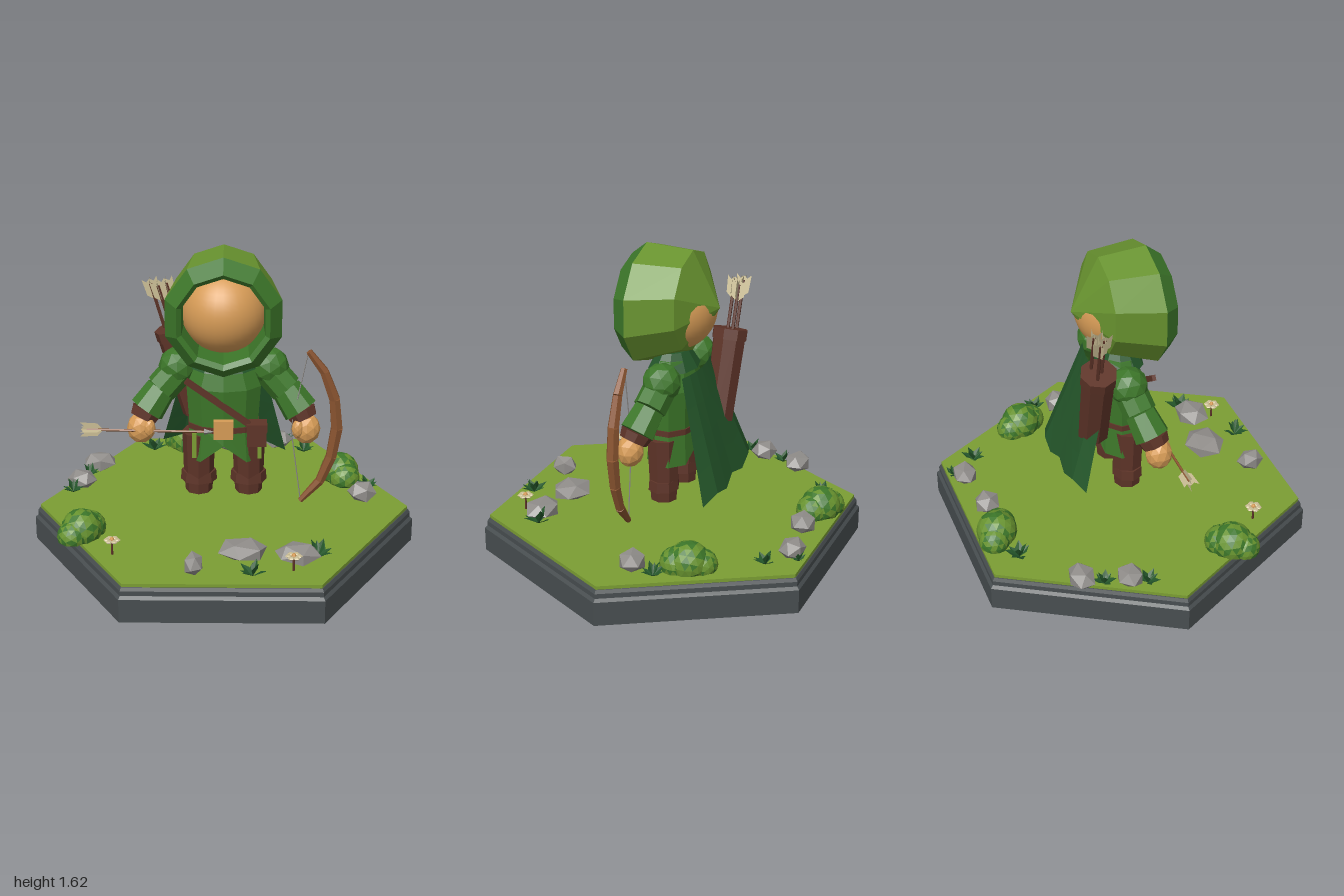
import * as THREE from 'three';

const V = (x, y, z) => new THREE.Vector3(x, y, z);
const UP = V(0, 1, 0);

function mat(name, color, side = THREE.FrontSide) {
  const m = new THREE.MeshStandardMaterial({ color, side });
  m.name = name;
  return m;
}

// Faceted normals
function flat(g) {
  const f = g.index ? g.toNonIndexed() : g;
  f.computeVertexNormals();
  return f;
}

// Moves every vertex by a rule
function warp(g, rule) {
  const p = g.attributes.position, v = V(0, 0, 0);
  for (let i = 0; i < p.count; i++) {
    v.fromBufferAttribute(p, i);
    rule(v);
    p.setXYZ(i, v.x, v.y, v.z);
  }
  return g;
}

function lathe(profile, sides, start = 0) {
  return new THREE.LatheGeometry(profile.map(([r, y]) => new THREE.Vector2(r, y)), sides, start);
}

// Tapered cylinder from point a to point b
function limb(a, b, ra, rb, sides = 8) {
  const d = b.clone().sub(a);
  const g = new THREE.CylinderGeometry(rb, ra, d.length(), sides);
  g.applyQuaternion(new THREE.Quaternion().setFromUnitVectors(UP, d.normalize()));
  const c = a.clone().add(b).multiplyScalar(0.5);
  return flat(g.translate(c.x, c.y, c.z));
}

function box(w, h, d, x, y, z, rz = 0) {
  return new THREE.BoxGeometry(w, h, d).rotateZ(rz).translate(x, y, z);
}

let seed = 11;
const rand = () => (seed = (seed * 16807) % 2147483647) / 2147483647;

export function createModel() {
  const slate = mat('slate', 0x484e50);
  const grass = mat('grass', 0x7b9e33);
  const deepGreen = mat('deepGreen', 0x24562a, THREE.DoubleSide);
  const tunicGreen = mat('tunicGreen', 0x3c7629);
  const olive = mat('olive', 0x68932f);
  const skin = mat('skin', 0xd69b56);
  const leather = mat('leather', 0x5e3428);
  const wood = mat('wood', 0x8a5430);
  const rock = mat('rock', 0x908d8a);
  const cream = mat('cream', 0xcabd94, THREE.DoubleSide);

  const model = new THREE.Group();
  const add = (name, g, m, parent = model) => {
    const mesh = new THREE.Mesh(g, m);
    mesh.name = name;
    parent.add(mesh);
    return mesh;
  };
  const group = (name, x = 0, y = 0, z = 0) => {
    const g = new THREE.Group();
    g.name = name;
    g.position.set(x, y, z);
    model.add(g);
    return g;
  };

  // Hexagonal plinth and turf
  add('plinth', flat(lathe([[0, 0], [1, 0], [1, 0.125], [0.985, 0.14], [0.985, 0.165], [0.975, 0.182], [0, 0.182]], 6, Math.PI / 6)), slate);
  add('turf', flat(lathe([[0.97, 0.18], [0.97, 0.2], [0, 0.2]], 6, Math.PI / 6)), grass);

  // Head and hood, with the hood turned along z and its rear raised
  add('head', new THREE.SphereGeometry(0.22, 32, 24).translate(0, 1.305, 0), skin);
  const hoodPart = (profile) => flat(warp(lathe(profile, 10).rotateX(Math.PI / 2), (v) => {
    v.x *= 0.97;
    v.y += 1.31 + (v.z < -0.2 ? 0.02 : v.z < 0 ? 0.04 : 0);
  }));
  add('hood', hoodPart([[0, -0.245], [0.262, -0.1], [0.315, 0.15]]), olive);
  add('hoodRim', hoodPart([[0.315, 0.15], [0.25, 0.23], [0.225, 0.21], [0.215, 0.02]]), tunicGreen);

  // Tunic, with a notch at the middle of the hem
  const tunic = lathe([[0, 0.62], [0.205, 0.5], [0.185, 0.68], [0.2, 0.9], [0.135, 1.05], [0, 1.06]], 10);
  add('tunic', flat(warp(tunic, (v) => {
    if (v.y < 0.51 && Math.abs(v.x) < 0.02) v.y = 0.6;
    v.z = v.z * 0.65 - 0.005;
  })), tunicGreen);
  add('collar', flat(new THREE.CylinderGeometry(0.1, 0.17, 0.09, 10).scale(1, 1, 0.75).translate(0, 1.04, 0)), deepGreen);

  // Belt, buckle, shoulder strap, pouch and hanging ribbons
  add('belt', flat(new THREE.CylinderGeometry(0.192, 0.192, 0.03, 10).scale(1, 1, 0.67).translate(0, 0.68, -0.005)), leather);
  add('buckle', box(0.1, 0.1, 0.03, 0, 0.7, 0.138), skin);
  add('chestStrap', box(0.4, 0.03, 0.02, -0.03, 0.845, 0.125, -0.64), leather);
  add('pouch', box(0.1, 0.12, 0.07, 0.17, 0.67, 0.115), leather);
  add('pouchFlap', box(0.106, 0.045, 0.078, 0.17, 0.71, 0.115), leather);
  for (const x of [-0.15, 0.185]) add('ribbon', box(0.022, 0.14, 0.008, x, 0.6, 0.115), grass);

  for (const s of [1, -1]) {
    // Boots
    const x = 0.13 * s;
    add('bootShaft', limb(V(x, 0.39, 0.005), V(x, 0.64, 0.01), 0.078, 0.085), leather);
    add('bootCuff', flat(new THREE.CylinderGeometry(0.09, 0.095, 0.055, 8).scale(1, 1, 0.85).translate(x, 0.388, 0.005)), leather);
    add('foot', limb(V(x, 0.3, 0.005), V(x, 0.365, 0.005), 0.07, 0.075), leather);
    // Arms
    const elbow = V(0.32 * s, 0.87, 0), wrist = V(0.395 * s, 0.765, 0.035);
    add('shoulder', flat(new THREE.IcosahedronGeometry(0.1, 1).translate(0.235 * s, 0.985, -0.03)), tunicGreen);
    add('upperArm', limb(V(0.22 * s, 0.98, -0.03), elbow, 0.085, 0.085), tunicGreen);
    add('sleeve', limb(elbow, wrist, 0.08, 0.093), tunicGreen);
    add('wristband', limb(wrist, V(0.415 * s, 0.725, 0.048), 0.083, 0.072), leather);
    // Hand and thumb
    add('hand', flat(new THREE.IcosahedronGeometry(0.077, 1).scale(0.95, 1.08, 0.9).translate(0.425 * s, 0.675, 0.06)), skin);
    add('thumb', flat(new THREE.IcosahedronGeometry(0.04, 1).scale(0.8, 1.3, 0.8).translate(0.38 * s, 0.69, 0.1)), skin);
  }

  // Cape: a sheet that widens and swings back toward its hem
  const cape = new THREE.PlaneGeometry(2, 1, 6, 4);
  add('cape', flat(warp(cape, (v) => {
    const t = 0.5 - v.y, u = v.x;
    v.x = u * (0.19 + 0.14 * t);
    v.y = 1.0 - t * (0.57 + 0.03 * u) + 0.015 * Math.cos(u * 9) * t;
    v.z = -0.12 - 0.185 * t - 0.03 * (1 - u * u) + 0.012 * Math.cos(u * 6) * t;
  })), deepGreen);

  // Feathered end of an arrow, two crossed notched plates along +y
  const feather = new THREE.Shape([[0, 0], [0.035, 0.03], [0.04, 0.12], [0.02, 0.1], [0, 0.115], [-0.02, 0.1], [-0.04, 0.12], [-0.035, 0.03]]
    .map(([x, y]) => new THREE.Vector2(x, y)));
  const fletch = (parent, at, dir) => {
    for (const turn of [0, Math.PI / 2]) {
      const g = new THREE.ShapeGeometry(feather).rotateY(turn);
      g.applyQuaternion(new THREE.Quaternion().setFromUnitVectors(UP, dir)).translate(at.x, at.y, at.z);
      add('fletching', g, cream, parent);
    }
  };

  // Quiver with three arrows
  const quiver = group('quiver');
  const low = V(-0.14, 0.67, -0.185), high = V(-0.27, 1.12, -0.2);
  add('quiverCase', limb(low, high, 0.08, 0.088), leather, quiver);
  add('quiverBand', limb(low.clone().lerp(high, 0.9), low.clone().lerp(high, 1.02), 0.094, 0.094), leather, quiver);
  const lean = high.clone().sub(low).normalize();
  for (const [dx, dz] of [[-0.04, -0.02], [0, 0.015], [0.04, -0.025]]) {
    const a = high.clone().add(V(dx, 0, dz)), b = a.clone().addScaledVector(lean, 0.25);
    add('arrowShaft', limb(a, b, 0.009, 0.009, 5), leather, quiver);
    fletch(quiver, a.clone().addScaledVector(lean, 0.16), lean);
  }

  // Arrow held in the right hand
  const arrow = group('heldArrow');
  add('shaft', limb(V(-0.7, 0.685, 0.11), V(-0.1, 0.68, 0.12), 0.007, 0.007, 5), wood, arrow);
  add('arrowPoint', limb(V(-0.1, 0.68, 0.12), V(-0.05, 0.68, 0.12), 0.018, 0.001, 4), rock, arrow);
  fletch(arrow, V(-0.615, 0.685, 0.11), V(-1, 0, 0));

  // Bow with a drawn string
  const bow = group('bow');
  const stave = [[0.43, 1.11, 0.017], [0.51, 1.0, 0.025], [0.565, 0.85, 0.03], [0.58, 0.69, 0.033], [0.555, 0.53, 0.03], [0.5, 0.39, 0.025], [0.4, 0.275, 0.015]];
  for (let i = 1; i < stave.length; i++) {
    const [ax, ay, ar] = stave[i - 1], [bx, by, br] = stave[i];
    add('stave', limb(V(ax, ay, 0.085), V(bx, by, 0.085), ar, br, 6), wood, bow);
  }
  const nock = V(0.345, 0.69, 0.09);
  add('string', limb(V(0.425, 1.1, 0.085), nock, 0.003, 0.003, 4), rock, bow);
  add('string', limb(nock, V(0.4, 0.28, 0.085), 0.003, 0.003, 4), rock, bow);

  // Bushes: clustered lobes in two mixed greens, cut level with the turf
  for (const [x, z, turn] of [[-0.21, -0.74, 0.5], [0.63, -0.34, 1.2], [-0.72, 0.35, -0.9]]) {
    const bush = group('bush', x, 0.2, z);
    for (const [d, r, h] of [[0, 0.105, 0.04], [0.06, 0.085, 0.03], [-0.065, 0.08, 0.025]]) {
      const g = flat(warp(new THREE.IcosahedronGeometry(r, 2), (v) => {
        v.x += d * Math.cos(turn);
        v.z += d * Math.sin(turn);
        v.y = Math.max(0, v.y + h);
      }));
      for (let i = 0; i < g.attributes.position.count; i += 3) g.addGroup(i, 3, rand() < 0.55 ? 0 : 1);
      add('foliage', g, [olive, tunicGreen], bush);
    }
  }

  // Rocks: x, z, half width, height, half depth
  for (const [x, z, w, h, d] of [[0.02, -0.72, 0.068, 0.1, 0.065], [0.3, -0.76, 0.08, 0.09, 0.062], [-0.69, -0.45, 0.088, 0.09, 0.066],
    [-0.77, -0.225, 0.075, 0.09, 0.065], [0.735, -0.085, 0.073, 0.1, 0.065], [0.1, 0.55, 0.118, 0.08, 0.1],
    [0.375, 0.59, 0.11, 0.085, 0.085], [-0.14, 0.715, 0.048, 0.1, 0.068]]) {
    const g = warp(new THREE.IcosahedronGeometry(1, 0).rotateY(x * 9), (v) => {
      v.set(v.x * w * 1.1, Math.max(0, 0.4 + v.y * 0.65) * h, v.z * d * 1.1);
    });
    add('rock', flat(g).translate(x, 0.2, z), rock);
  }

  // Ferns: rings of folded leaves
  const leaf = new THREE.BufferGeometry();
  leaf.setAttribute('position', new THREE.Float32BufferAttribute([
    0, 0, 0, 0.024, 0.03, 0.04, 0, 0.05, 0.085,
    0, 0, 0, 0, 0.05, 0.085, -0.024, 0.03, 0.04], 3));
  leaf.computeVertexNormals();
  for (const [x, z, s] of [[-0.4, -0.68, 0.9], [0.445, -0.67, 0.8], [0.77, -0.21, 0.8], [-0.81, -0.145, 0.8],
    [-0.74, -0.35, 0.75], [0.475, 0.56, 1], [0.15, 0.755, 0.9], [0.35, -0.81, 0.6]]) {
    const fern = group('fern', x, 0.2, z);
    for (let i = 0; i < 9; i++) {
      const m = add('leaf', leaf, deepGreen, fern);
      m.rotation.set(i % 3 === 0 ? -0.6 : 0, i * 2.4 + x * 5, 0, 'YXZ');
      m.scale.setScalar(s * (i % 2 ? 0.85 : 1));
    }
  }

  // Flowers
  for (const [x, z] of [[-0.55, 0.545], [0.35, 0.7]]) {
    const flower = group('flower', x, 0.2, z);
    add('stem', limb(V(0, 0, 0), V(0, 0.08, 0), 0.006, 0.005, 5), leather, flower);
    for (let i = 0; i < 6; i++) {
      const a = i * Math.PI / 3;
      add('petal', flat(new THREE.SphereGeometry(0.018, 6, 4).scale(1, 0.4, 1).translate(0.026 * Math.cos(a), 0.08, 0.026 * Math.sin(a))), cream, flower);
    }
    add('flowerHeart', flat(new THREE.SphereGeometry(0.013, 6, 4).translate(0, 0.083, 0)), skin, flower);
  }

  return model;
}
